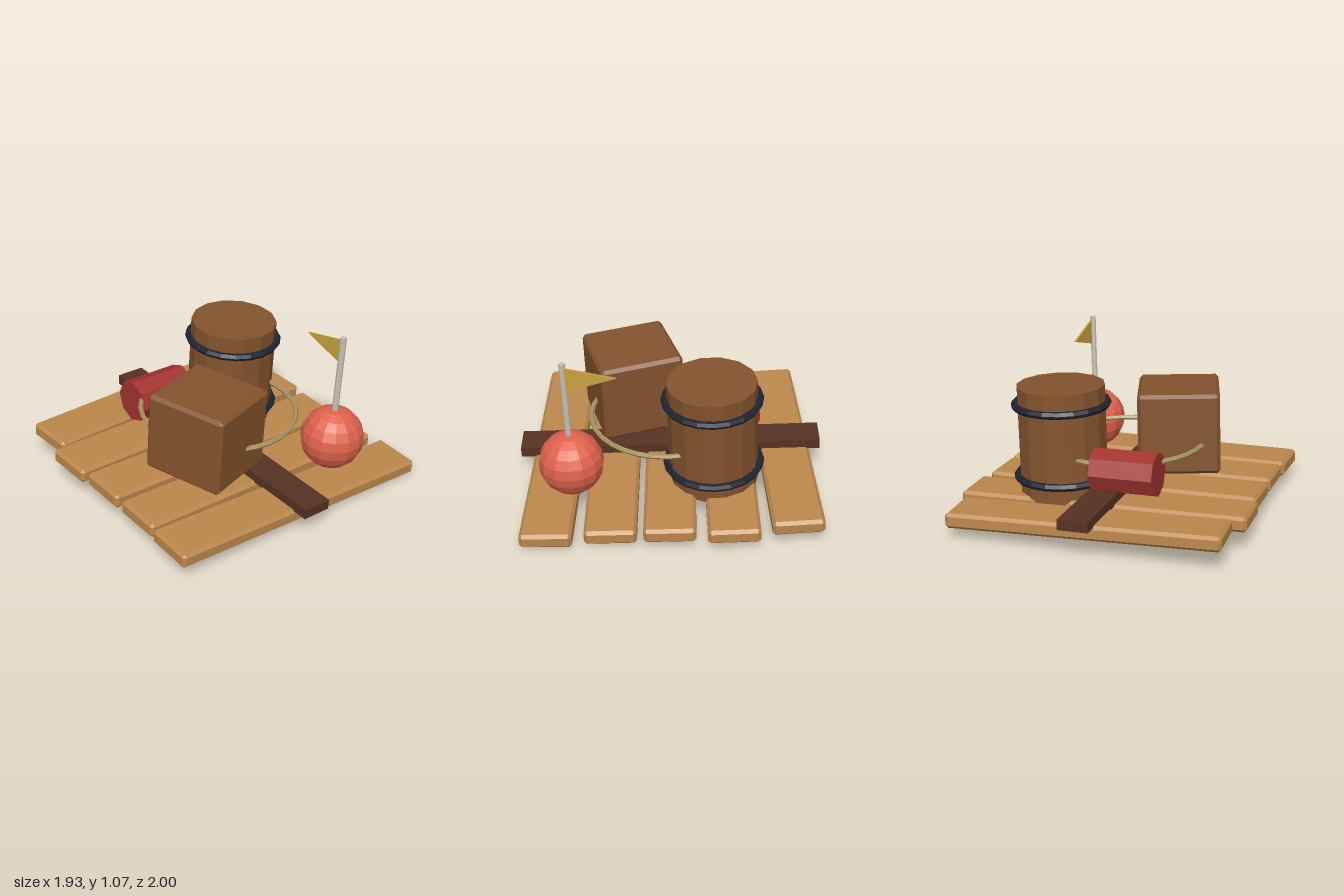
import * as THREE from 'three';
import { ConvexGeometry } from 'three/addons/geometries/ConvexGeometry.js';

const mat = (name, color) => {
  const m = new THREE.MeshStandardMaterial({ color, flatShading: true });
  m.name = name;
  return m;
};

// Box with chamfered edges
function chamferBox(w, h, d, c) {
  const pts = [];
  const [x, y, z] = [w / 2, h / 2, d / 2];
  for (const i of [-1, 1]) for (const j of [-1, 1]) for (const k of [-1, 1]) {
    pts.push(
      new THREE.Vector3(i * x, j * (y - c), k * (z - c)),
      new THREE.Vector3(i * (x - c), j * y, k * (z - c)),
      new THREE.Vector3(i * (x - c), j * (y - c), k * z));
  }
  return new ConvexGeometry(pts);
}

export function createModel() {
  const plankWood = mat('plank wood', 0xbc874c);
  const cargoWood = mat('cargo wood', 0x84532d);
  const beamWood = mat('dark beam wood', 0x573222);
  const hoopBlack = mat('hoop black', 0x1f2431);
  const ropeTan = mat('rope tan', 0xa8925f);
  const buoyRed = mat('buoy red', 0xdf624c);
  const canRed = mat('canister red', 0xa23430);
  const poleGrey = mat('pole grey', 0xcac3b4);
  const flagGold = mat('flag gold', 0xcba541);

  const model = new THREE.Group();
  const raft = new THREE.Group();
  raft.name = 'raft';
  raft.rotation.set(0.038, 0, -0.04); // the whole raft lists slightly
  model.add(raft);

  const add = (name, geometry, material, x, y, z) => {
    const mesh = new THREE.Mesh(geometry, material);
    mesh.name = name;
    mesh.position.set(x, y, z);
    raft.add(mesh);
    return mesh;
  };

  // Deck planks: length, z, yaw
  [[1.78, -0.765, 0.052], [1.92, -0.39, 0.018], [1.87, -0.012, -0.008],
    [1.87, 0.36, -0.007], [1.91, 0.738, -0.034]].forEach(([len, z, yaw], i) => {
    add('plank' + (i + 1), chamferBox(len, 0.1, 0.33, 0.02), plankWood, -0.005, 0.13, z)
      .rotation.y = yaw;
  });

  // Long beam across the planks
  add('beam', new THREE.BoxGeometry(0.2, 0.068, 2), beamWood, -0.008, 0.204, -0.008);

  // Crate
  add('crate', chamferBox(0.54, 0.54, 0.56, 0.022), cargoWood, -0.303, 0.51, 0.23)
    .rotation.y = 0.295;

  // Barrel with two hoops
  const [bx, bz] = [0.33, -0.295];
  add('barrel', new THREE.CylinderGeometry(0.29, 0.29, 0.73, 14), cargoWood, bx, 0.515, bz);
  for (const y of [0.275, 0.755]) {
    add('barrelHoop', new THREE.TorusGeometry(0.303, 0.025, 6, 20), hoopBlack, bx, y, bz)
      .rotation.x = Math.PI / 2;
  }

  // Canister lying on the beam
  add('canister', new THREE.CylinderGeometry(0.145, 0.145, 0.42, 8), canRed, -0.172, 0.385, -0.47)
    .rotation.z = Math.PI / 2;

  // Rope loop around the cargo
  add('rope', new THREE.TorusGeometry(0.518, 0.017, 6, 32), ropeTan, -0.007, 0.44, -0.01)
    .rotation.x = Math.PI / 2;

  // Buoy with pole and pennant
  add('buoy', new THREE.SphereGeometry(0.211, 14, 10), buoyRed, 0.452, 0.383, 0.617);
  add('flagPole', new THREE.CylinderGeometry(0.021, 0.021, 0.62, 8), poleGrey, 0.449, 0.812, 0.619);
  const pennant = new THREE.Shape([
    new THREE.Vector2(0, 1.095), new THREE.Vector2(0, 0.925), new THREE.Vector2(0.315, 1.012)]);
  add('flag', new THREE.ExtrudeGeometry(pennant, { depth: 0.012, bevelEnabled: false }),
    flagGold, 0.455, 0, 0.608).rotation.y = Math.PI / 2;

  return model;
}
